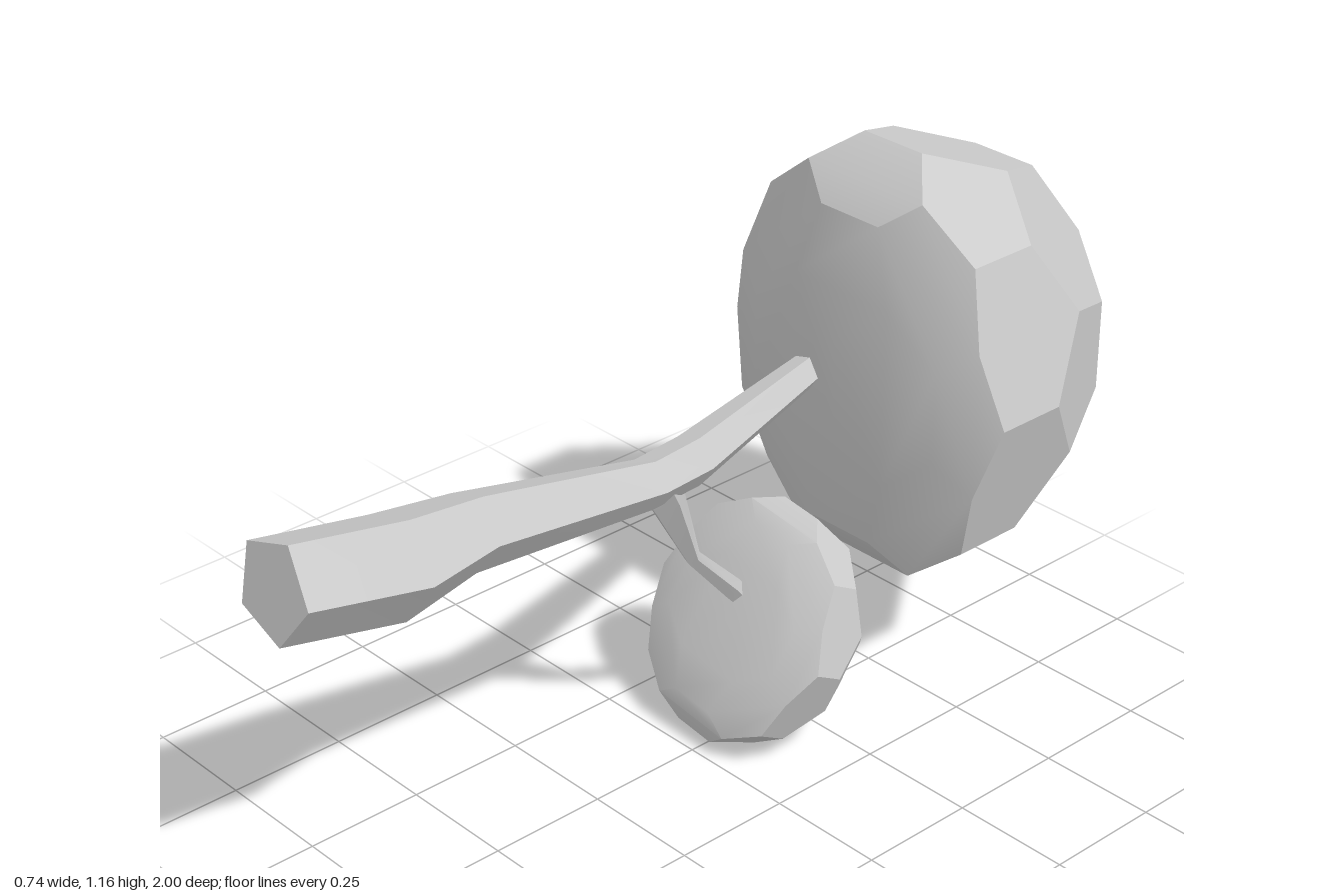
import * as THREE from 'three';
import { toCreasedNormals } from 'three/addons/utils/BufferGeometryUtils.js';
import { ConvexGeometry } from 'three/addons/geometries/ConvexGeometry.js';

const material = new THREE.MeshStandardMaterial({ color: 0xcccccc });
const PHI = (1 + Math.sqrt(5)) / 2;

function makeMesh(name, geometry, crease) {
  const mesh = new THREE.Mesh(toCreasedNormals(geometry, crease), material);
  mesh.name = name;
  return mesh;
}

// Corners of a truncated icosahedron: each edge of an icosahedron cut at its thirds
function ballPoints() {
  const corners = [];
  for (const a of [-1, 1]) {
    for (const b of [-PHI, PHI]) {
      corners.push(new THREE.Vector3(0, a, b), new THREE.Vector3(a, b, 0), new THREE.Vector3(b, 0, a));
    }
  }
  const points = [];
  for (const p of corners) {
    for (const q of corners) {
      const d = p.distanceTo(q);
      if (d > 0.1 && d < 2.1) points.push(p.clone().lerp(q, 1 / 3).divideScalar(PHI));
    }
  }
  return points;
}

// Faceted leaf crown: domed towards the back (-z), nearly flat towards the front
function crown(name, rx, ry, front, back) {
  const points = ballPoints().map((p) => new THREE.Vector3(
    p.x * rx,
    p.y * ry,
    p.z > 0 ? front * Math.pow(p.z, 0.6) : p.z * back,
  ));
  return makeMesh(name, new ConvexGeometry(points), 0.4);
}

// Capped limb through rings of [x, y, z, radius, pitch]
function limb(name, rings, sides) {
  const positions = [];
  const index = [];
  for (const [x, y, z, r, pitch] of rings) {
    for (let j = 0; j < sides; j++) {
      const a = (j / sides) * Math.PI * 2;
      const up = r * Math.sin(a);
      positions.push(x + r * Math.cos(a), y + up * Math.cos(pitch), z - up * Math.sin(pitch));
    }
  }
  const last = (rings.length - 1) * sides;
  for (let i = 0; i < last; i += sides) {
    for (let j = 0; j < sides; j++) {
      const a = i + j;
      const b = i + ((j + 1) % sides);
      index.push(a, a + sides, b, b, a + sides, b + sides);
    }
  }
  for (let j = 1; j < sides - 1; j++) {
    index.push(0, j, j + 1, last, last + j + 1, last + j);
  }
  const geometry = new THREE.BufferGeometry();
  geometry.setAttribute('position', new THREE.Float32BufferAttribute(positions, 3));
  geometry.setIndex(index);
  return makeMesh(name, geometry, 0.5);
}

export function createModel() {
  const tree = new THREE.Group();
  tree.name = 'fallenTree';

  // Trunk: thick root end at the front, thinning into the large crown
  tree.add(limb('trunk', [
    [0.035, 0.797, 0.983, 0.1, 0.17],
    [0.042, 0.748, 0.73, 0.104, 0.1],
    [0.036, 0.747, 0.56, 0.078, 0.15],
    [0.045, 0.69, 0.15, 0.052, 0.08],
    [0.037, 0.692, 0.03, 0.053, 0],
    [-0.085, 0.685, -0.38, 0.037, 0],
    [-0.1, 0.685, -0.45, 0.035, 0],
  ], 5));

  // Side branch hanging down to the small crown
  tree.add(limb('branch', [
    [0.035, 0.69, 0.13, 0.045, 1.1],
    [0.03, 0.63, 0.095, 0.04, 1.05],
    [0.006, 0.455, 0.005, 0.017, 1.0],
    [-0.012, 0.33, -0.115, 0.023, 0.85],
    [-0.015, 0.27, -0.165, 0.018, 0.85],
  ], 5));

  const largeCrown = crown('largeCrown', 0.368, 0.463, 0.145, 0.48);
  largeCrown.position.set(0, 0.698, -0.52);
  tree.add(largeCrown);

  const smallCrown = crown('smallCrown', 0.235, 0.252, 0.062, 0.215);
  smallCrown.position.set(-0.007, 0.241, -0.154);
  smallCrown.rotation.set(-0.5, 0, -0.1);
  tree.add(smallCrown);

  return tree;
}
